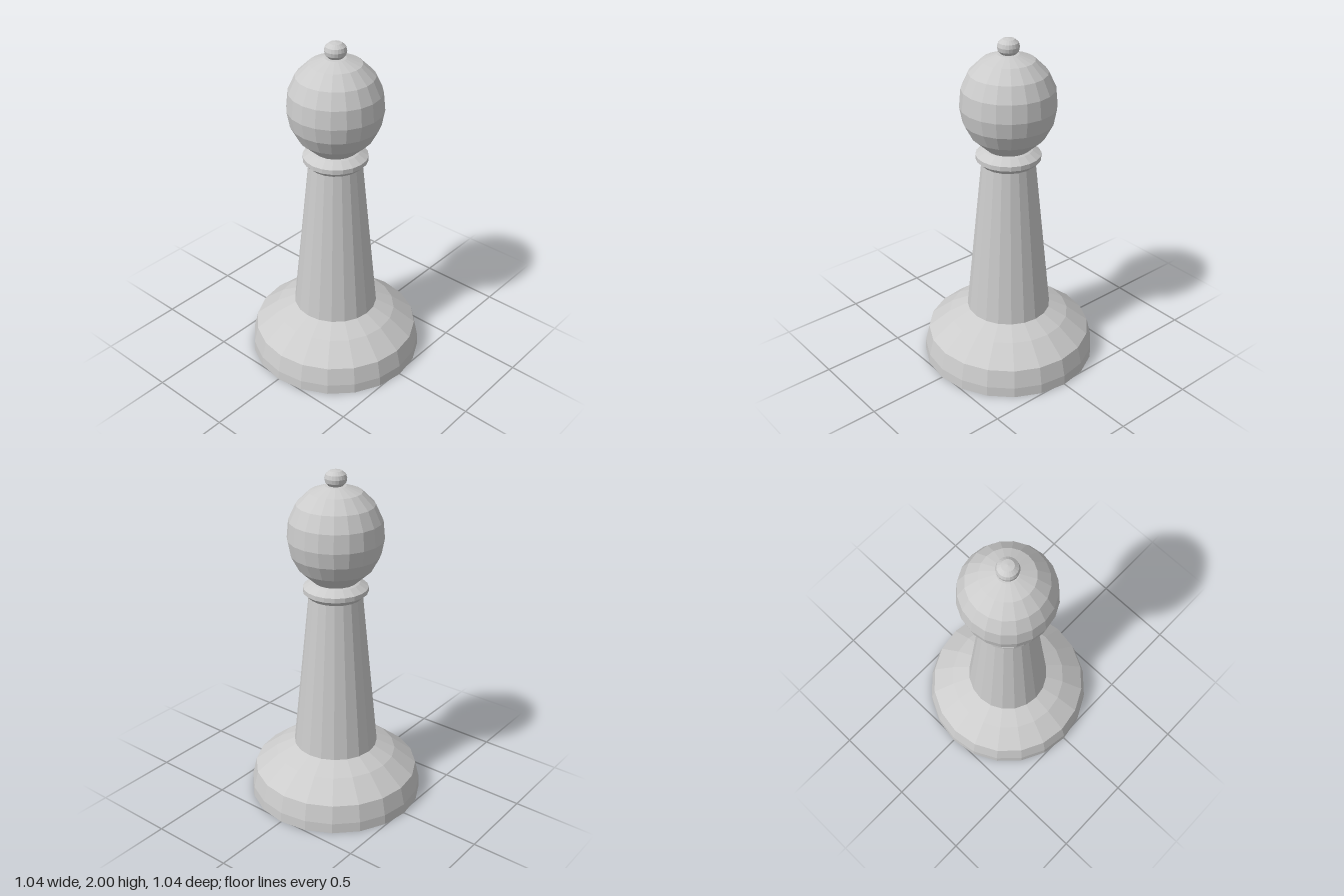
import * as THREE from 'three';

const SIDES = 20;

export function createModel() {
  const group = new THREE.Group();
  const material = new THREE.MeshStandardMaterial({ color: 0xcccccc, flatShading: true });

  // Turned part from [radius, height] pairs, bottom to top
  const turned = (name, profile) => {
    const points = profile.map(([r, y]) => new THREE.Vector2(r, y));
    const mesh = new THREE.Mesh(new THREE.LatheGeometry(points, SIDES), material);
    mesh.name = name;
    group.add(mesh);
  };

  // Wide foot with a closed underside and sloping shoulder
  turned('base', [[0, 0], [0.518, 0], [0.515, 0.06], [0.49, 0.165], [0.36, 0.27], [0.25, 0.325]]);

  // Tapered column
  turned('shaft', [[0.25, 0.325], [0.155, 1.27]]);

  // Bevelled ring under the head
  turned('collar', [[0.155, 1.27], [0.187, 1.3], [0.187, 1.327], [0.14, 1.357], [0.125, 1.362]]);

  // Rounded head, slightly taller than wide
  turned('head', [
    [0.125, 1.362], [0.21, 1.44], [0.255, 1.525], [0.272, 1.615],
    [0.262, 1.72], [0.22, 1.81], [0.148, 1.88], [0.06, 1.912], [0, 1.916],
  ]);

  // Small flattened knob on top
  turned('knob', [
    [0, 1.908], [0.042, 1.914], [0.058, 1.932], [0.062, 1.955],
    [0.056, 1.977], [0.034, 1.995], [0, 2],
  ]);

  return group;
}
